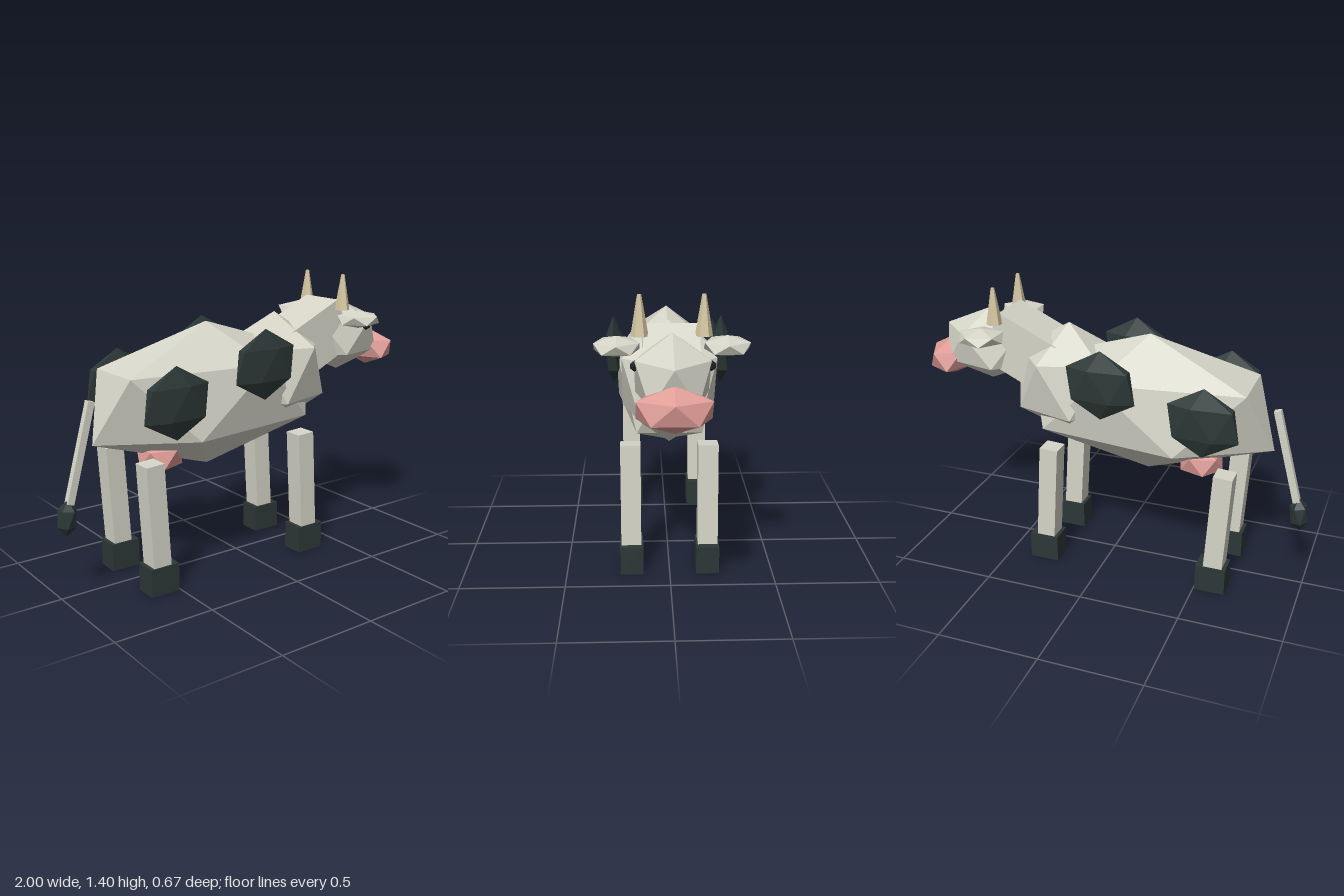
import * as THREE from 'three';

const paint = (name, color) => {
  const m = new THREE.MeshStandardMaterial({ color, flatShading: true });
  m.name = name;
  return m;
};

export function createModel() {
  const cow = new THREE.Group();
  cow.name = 'cow';
  const hide = paint('pale hide', 0xd6d5c8);
  const dark = paint('dark patch', 0x2c3837);
  const pink = paint('pink skin', 0xdf9c97);
  const horn = paint('horn', 0xd6c8a3);
  const black = paint('eye black', 0x1b2424);

  const add = (name, geometry, material, [x, y, z], tilt = 0) => {
    const mesh = new THREE.Mesh(geometry, material);
    mesh.name = name;
    mesh.position.set(x, y, z);
    mesh.rotation.z = tilt;
    cow.add(mesh);
    return mesh;
  };

  // Icosahedron standing on a vertex, stretched to the given radii
  const gem = (rx, ry, rz) => new THREE.IcosahedronGeometry(1, 0)
    .rotateZ(-Math.atan2(1, (1 + Math.sqrt(5)) / 2))
    .scale(rx, ry, rz);

  // Trunk, neck and head, facing +x
  add('body', gem(0.705, 0.355, 0.294), hide, [-0.18, 0.865, 0]);
  add('chest', gem(0.302, 0.297, 0.26), hide, [0.24, 0.933, 0]);
  add('neck', new THREE.BoxGeometry(0.36, 0.27, 0.246), hide, [0.455, 1.077, 0], 0.44);
  add('head', gem(0.268, 0.188, 0.188), hide, [0.675, 1.07, 0]);
  add('muzzle', gem(0.122, 0.101, 0.185), pink, [0.89, 0.985, 0]);
  add('udder', gem(0.122, 0.09, 0.123), pink, [-0.455, 0.598, 0]);

  // Tail with a tuft
  add('tail', new THREE.BoxGeometry(0.034, 0.48, 0.034), hide, [-0.875, 0.685, 0], -0.265);
  add('tailTuft', gem(0.05, 0.09, 0.052), dark, [-0.953, 0.388, 0], -0.1);

  // Paired parts on both sides
  for (const [side, s] of [['right', -1], ['left', 1]]) {
    add(side + 'Eye', gem(0.024, 0.024, 0.022), black, [0.732, 1.13, s * 0.16]);
    add(side + 'Ear', gem(0.123, 0.045, 0.115), hide, [0.6, 1.185, s * 0.237]);
    add(side + 'Horn', new THREE.CylinderGeometry(0.009, 0.039, 0.18, 6), horn, [0.577, 1.314, s * 0.138]);

    // Flattened patches on the flanks
    add(side + 'RearPatch', gem(0.191, 0.171, 0.044), dark, [-0.52, 0.915, s * 0.265]);
    add(side + 'FrontPatch', gem(0.191, 0.171, 0.044), dark, [-0.022, 1.03, s * 0.265]);

    // Slightly slanted legs in block hooves
    for (const [end, x] of [['Front', 0.305], ['Rear', -0.582]]) {
      add(side + end + 'Leg', new THREE.BoxGeometry(0.094, 0.55, 0.097), hide, [x - 0.022, 0.36, s * 0.186], 0.056);
      add(side + end + 'Hoof', new THREE.BoxGeometry(0.15, 0.138, 0.112), dark, [x, 0.069, s * 0.184]);
    }
  }
  return cow;
}
